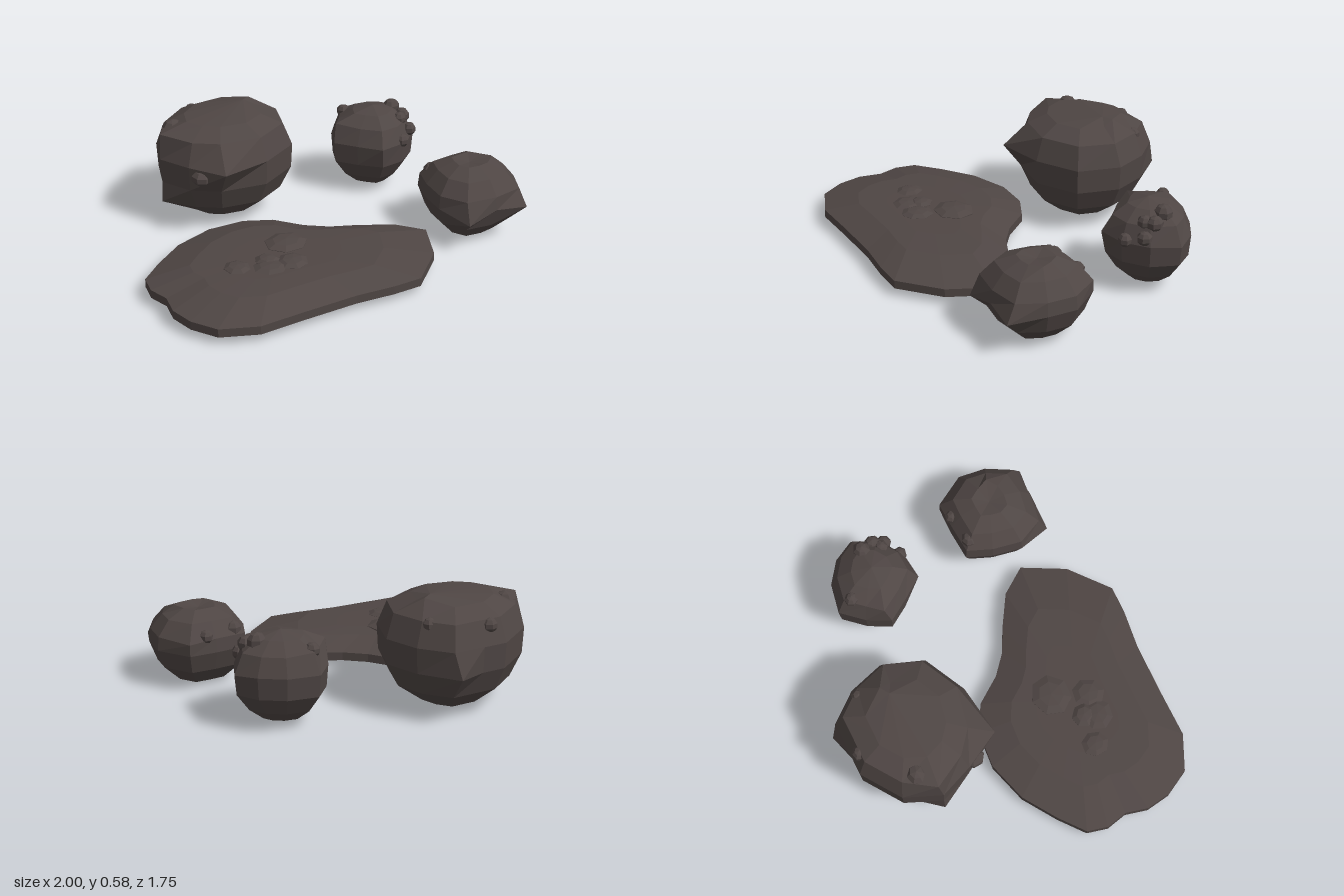
import * as THREE from 'three';

const stone = new THREE.MeshStandardMaterial({ color: 0x4f4644, flatShading: true });
stone.name = 'dark stone';

// Skin stacked rings (listed bottom to top, clockwise from above) into one solid.
function loft(rings) {
  const n = rings[0].length, pos = rings.flat(2), index = [];
  for (let r = 0; r < rings.length - 1; r++) {
    for (let i = 0; i < n; i++) {
      const a = r * n + i, b = r * n + (i + 1) % n;
      if (r > 0) index.push(b, a, a + n);
      if (r < rings.length - 2) index.push(b, a + n, b + n);
      else if (r === 0) index.push(b, a, a + n);
    }
  }
  const g = new THREE.BufferGeometry();
  g.setAttribute('position', new THREE.Float32BufferAttribute(pos, 3));
  g.setIndex(index);
  g.computeVertexNormals();
  return g;
}

function makeMesh(name, geometry) {
  const m = new THREE.Mesh(geometry, stone);
  m.name = name;
  return m;
}

// Outline [x, z] scaled about a centre at each level [y, scale, shiftX, shiftZ];
// the vertex nearest each pull point is snapped onto it to give chipped corners.
function rockGeometry([cx, cz], outline, levels, pulls = []) {
  const rings = levels.map(([y, s, dx = 0, dz = 0]) =>
    outline.map(([x, z]) => [cx + dx + (x - cx) * s, y, cz + dz + (z - cz) * s]));
  const free = rings.filter((_, i) => levels[i][1] > 0).flat();
  for (const p of pulls) {
    const dist = v => Math.hypot(v[0] - p[0], v[1] - p[1], v[2] - p[2]);
    const near = free.reduce((a, b) => (dist(b) < dist(a) ? b : a));
    near.splice(0, 3, ...p);
  }
  return loft(rings);
}

// Small faceted lump: [x, y, z, radius, height ratio]
function pebble([x, y, z, r, flat = 0.9], i) {
  const g = new THREE.SphereGeometry(r, 7, 5);
  g.scale(1, flat, 0.92);
  g.rotateY(i * 1.3 + 0.4);
  const m = makeMesh('pebble', g);
  m.position.set(x, y, z);
  return m;
}

function boulder(name, geometry, pebbles) {
  const g = new THREE.Group();
  g.name = name;
  g.add(makeMesh(name + 'Body', geometry), ...pebbles.map(pebble));
  return g;
}

export function createModel() {
  const model = new THREE.Group();
  model.name = 'rocks';

  // Broad flat slab with a bevelled rim and a few flattened lumps on top
  const slabOutline = [
    [-1, 0.27], [-0.9, 0.14], [-0.76, -0.01], [-0.57, -0.12], [-0.38, -0.15], [-0.23, -0.11],
    [-0.1, 0], [0.02, 0.06], [0.15, 0.09], [0.34, 0.15], [0.47, 0.26], [0.41, 0.5],
    [0.25, 0.71], [0.1, 0.74], [-0.1, 0.76], [-0.39, 0.82], [-0.61, 0.87], [-0.8, 0.83],
    [-0.9, 0.72], [-0.95, 0.6], [-0.95, 0.48], [-1, 0.38],
  ];
  model.add(boulder('slab',
    rockGeometry([-0.35, 0.36], slabOutline,
      [[0.04, 0], [0.04, 1], [0.083, 1], [0.135, 0.67], [0.142, 0.4], [0.142, 0]]),
    [[-0.28, 0.135, 0.25, 0.118, 0.25], [-0.58, 0.135, 0.41, 0.075, 0.3], [-0.43, 0.135, 0.46, 0.09, 0.25],
      [-0.31, 0.135, 0.44, 0.09, 0.28], [-0.42, 0.135, 0.39, 0.07, 0.4]]));

  // Large boulder at the back
  const largeOutline = [
    [-0.74, -0.4], [-0.71, -0.6], [-0.55, -0.78], [-0.43, -0.81], [-0.27, -0.85], [-0.12, -0.74],
    [-0.02, -0.58], [-0.04, -0.35], [-0.23, -0.19], [-0.48, -0.18], [-0.63, -0.25],
  ];
  model.add(boulder('largeBoulder',
    rockGeometry([-0.38, -0.5], largeOutline,
      [[0, 0], [0.03, 0.45], [0.13, 0.82], [0.25, 0.98], [0.38, 1], [0.5, 0.87], [0.55, 0.56], [0.58, 0, 0.14, -0.06]],
      [[-0.48, 0.38, -0.09], [-0.74, 0.14, -0.4], [-0.73, 0.51, -0.42], [-0.3, 0.25, -0.88],
        [-0.06, 0.5, -0.56], [-0.2, 0.575, -0.6], [-0.38, 0.5, -0.78]]),
    [[-0.64, 0.49, -0.51, 0.06], [-0.57, 0.33, -0.22, 0.06, 0.7], [-0.47, 0.47, -0.76, 0.04],
      [-0.19, 0.48, -0.71, 0.04]]));

  // Knobbly boulder
  const knobblyOutline = [
    [0.24, -0.47], [0.27, -0.6], [0.34, -0.73], [0.5, -0.74], [0.63, -0.69], [0.72, -0.6],
    [0.69, -0.45], [0.59, -0.34], [0.46, -0.3], [0.34, -0.38],
  ];
  model.add(boulder('knobblyBoulder',
    rockGeometry([0.48, -0.52], knobblyOutline,
      [[0, 0], [0.03, 0.4], [0.09, 0.7], [0.18, 0.96], [0.29, 1], [0.38, 0.82], [0.435, 0.48], [0.46, 0]],
      [[0.26, 0.39, -0.5], [0.36, 0.39, -0.69], [0.72, 0.28, -0.6], [0.45, 0.29, -0.29]]),
    [[0.6, 0.42, -0.55, 0.05], [0.64, 0.39, -0.49, 0.045], [0.59, 0.3, -0.36, 0.04], [0.66, 0.33, -0.43, 0.04],
      [0.36, 0.39, -0.65, 0.04], [0.61, 0.39, -0.45, 0.04]]));

  // Angular boulder at the side
  const angularOutline = [
    [0.52, 0.12], [0.54, -0.02], [0.7, -0.07], [0.84, -0.1], [0.98, 0.03], [1, 0.18],
    [0.96, 0.33], [0.8, 0.39], [0.63, 0.4], [0.53, 0.28],
  ];
  model.add(boulder('angularBoulder',
    rockGeometry([0.75, 0.15], angularOutline,
      [[0.01, 0], [0.015, 0.5], [0.1, 0.85], [0.2, 1], [0.27, 0.97], [0.345, 0.72], [0.385, 0.35], [0.37, 0]],
      [[0.63, 0.16, 0.44], [0.98, 0.18, 0.37], [0.87, 0.39, 0.16], [0.84, 0.26, -0.1]]),
    [[0.6, 0.29, 0.01, 0.045], [0.75, 0.28, -0.05, 0.04]]));

  return model;
}
